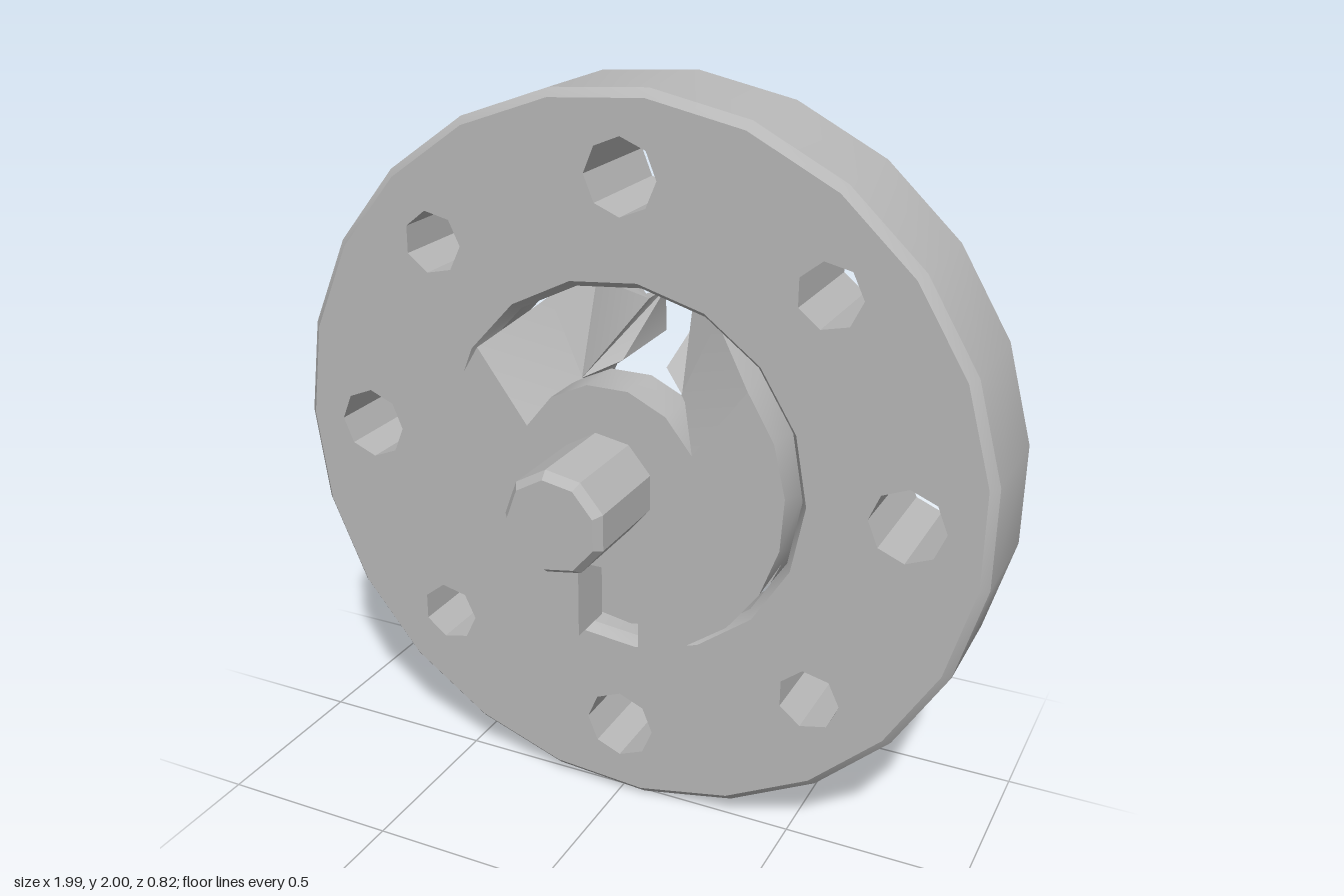
import * as THREE from 'three';
import { toCreasedNormals } from 'three/addons/utils/BufferGeometryUtils.js';

const CREASE = Math.PI / 6;
const V = (r, z) => new THREE.Vector2(r, z);

export function createModel() {
  const steel = new THREE.MeshStandardMaterial({ color: 0xb8b8b8, side: THREE.DoubleSide });
  steel.name = 'steel grey';
  const model = new THREE.Group();
  model.name = 'flangeCoupling';
  const assembly = new THREE.Group();
  assembly.name = 'assembly';
  assembly.position.y = 1;
  model.add(assembly);

  const add = (name, geometry, parent = assembly) => {
    const mesh = new THREE.Mesh(toCreasedNormals(geometry, CREASE), steel);
    mesh.name = name;
    parent.add(mesh);
    return mesh;
  };

  // Turned surface about z; profile is [radius, z], first corner at the given angle
  const turn = (profile, sides, angle = 0) => {
    const g = new THREE.LatheGeometry(profile.map(([r, z]) => V(r, z)), sides, angle + Math.PI / 2);
    return g.rotateX(Math.PI / 2);
  };

  const polygon = (r, sides, angle = 0, cx = 0, cy = 0) => Array.from({ length: sides }, (_, i) => {
    const a = angle + (i * 2 * Math.PI) / sides;
    return V(cx + r * Math.cos(a), cy + r * Math.sin(a));
  });

  // Outer flange: two drilled faces, rim, bore wall and bolt hole walls
  const flange = new THREE.Group();
  flange.name = 'flange';
  assembly.add(flange);
  const FRONT = 0.03, BACK = -0.31;
  const bolts = Array.from({ length: 8 }, (_, i) => {
    const a = (i * Math.PI) / 4;
    return {
      x: 0.78 * Math.cos(a), y: 0.78 * Math.sin(a),
      r: i % 2 ? 0.086 : 0.1, sides: i % 2 ? 7 : 8,
    };
  });
  const drilledFace = (outer, inner, z, flip) => {
    const shape = new THREE.Shape(polygon(outer, 23, Math.PI));
    shape.holes.push(new THREE.Path(polygon(inner, 17)));
    for (const b of bolts) shape.holes.push(new THREE.Path(polygon(b.r, b.sides, 0, b.x, b.y)));
    const g = new THREE.ShapeGeometry(shape);
    if (flip) g.index.array.reverse();
    return g.translate(0, 0, z);
  };
  add('flangeFrontFace', drilledFace(0.978, 0.52, FRONT, false), flange);
  add('flangeBackFace', drilledFace(0.978, 0.63, BACK, true), flange);
  add('flangeRim', turn([[0.978, BACK], [1, BACK + 0.022], [1, FRONT - 0.022], [0.978, FRONT]], 23, Math.PI), flange);
  add('flangeBore', turn([
    [0.52, FRONT], [0.5, 0], [0.5, -0.12], [0.575, -0.19], [0.575, -0.27], [0.63, BACK],
  ], 17), flange);
  for (const b of bolts) {
    add('boltHole', turn([[b.r, FRONT], [b.r, BACK]], b.sides), flange).position.set(b.x, b.y, 0);
  }

  // Sweeps a closed profile down one side of the hub.
  // Each point is [radius, z, start angle, end angle], angles measured from the top.
  const sweep = (profile, side, steps) => {
    const n = profile.length, pos = [], index = [];
    for (let j = 0; j <= steps; j++) {
      for (const [r, z, a0, a1] of profile) {
        const a = a0 + ((a1 - a0) * j) / steps;
        pos.push(side * r * Math.sin(a), r * Math.cos(a), z);
      }
    }
    const tri = (a, b, c) => (side > 0 ? index.push(a, b, c) : index.push(a, c, b));
    for (let j = 0; j < steps; j++) {
      for (let i = 0; i < n; i++) {
        const a = j * n + i, b = j * n + ((i + 1) % n);
        tri(a, b, a + n);
        tri(b, b + n, a + n);
      }
    }
    // End walls
    const last = steps * n;
    for (const [a, b, c] of THREE.ShapeUtils.triangulateShape(profile.map(([r, z]) => V(r, z)), [])) {
      tri(a, c, b);
      tri(last + a, last + b, last + c);
    }
    const g = new THREE.BufferGeometry();
    g.setAttribute('position', new THREE.Float32BufferAttribute(pos, 3));
    g.setIndex(index);
    return g;
  };

  // Hub: sloped notch at the top, key slot at the bottom front
  const hub = new THREE.Group();
  hub.name = 'hub';
  assembly.add(hub);
  const MID = -0.04, NOSE = 0.1;
  const slot = (r) => Math.PI - Math.asin(0.09 / r);
  const rad = THREE.MathUtils.degToRad;
  const frontProfile = [
    [0.25, MID, rad(34), slot(0.25)],
    [0.49, MID, rad(29), slot(0.49)],
    [0.49, NOSE, rad(51), slot(0.49)],
    [0.25, NOSE, rad(66), slot(0.25)],
  ];
  const backProfile = [
    [0.26, -0.41, 0.27], [0.38, -0.41, 0.19], [0.38, -0.3, 0.19], [0.45, -0.28, 0.24],
    [0.49, -0.2, 0.29], [0.49, -0.12, 0.29], [0.49, MID, rad(29)], [0.26, MID, rad(34)],
    [0.26, -0.12, 0.25],
  ].map((p) => [...p, Math.PI]);
  for (const side of [1, -1]) {
    const label = side > 0 ? 'left' : 'right';
    add(label + 'HubFront', sweep(frontProfile, side, 7), hub);
    add(label + 'HubShell', sweep(backProfile, side, 8), hub);
  }

  // Solid web in the middle of the hub, recessed behind
  add('hubWeb', turn([
    [0, 0.04], [0.11, 0.04], [0.11, MID], [0.262, MID], [0.262, NOSE], [0, NOSE],
  ].map(([r, z]) => [r, z]), 14, Math.PI / 2 + Math.PI / 14), hub);

  // Drive stud with a neck and chamfered tip
  add('driveStud', turn([
    [0, 0.09], [0.12, 0.09], [0.12, 0.12], [0.14, 0.12], [0.14, 0.385], [0.122, 0.41], [0, 0.41],
  ], 9, Math.PI));

  return model;
}
